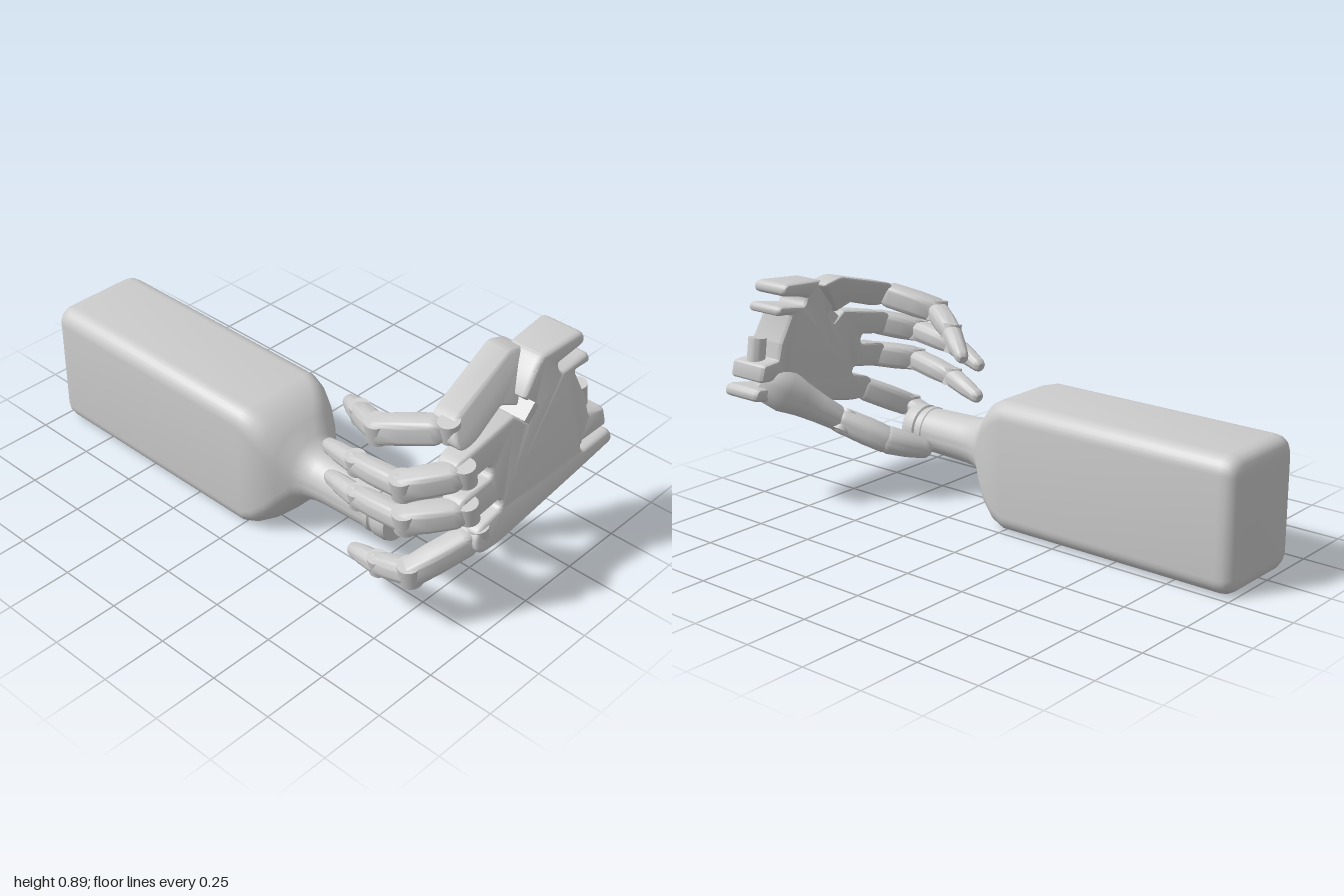
import * as THREE from 'three';
import { toCreasedNormals } from 'three/addons/utils/BufferGeometryUtils.js';

const material = new THREE.MeshStandardMaterial({ color: 0xcccccc });
const V = (p) => new THREE.Vector3(...p);

function part(geometry, name, crease = 0.6) {
  const mesh = new THREE.Mesh(toCreasedNormals(geometry, crease), material);
  mesh.name = name;
  return mesh;
}

// Skin along +z through rounded-rectangle rings [z, halfWidth, halfHeight, cornerRadius]
function loft(rings, perCorner = 6) {
  const pos = [], index = [], n = perCorner * 4;
  const addRing = ([z, w, h, r]) => {
    r = Math.min(r, w, h);
    for (let c = 0; c < 4; c++) {
      const cx = (c === 0 || c === 3 ? 1 : -1) * (w - r), cy = (c < 2 ? 1 : -1) * (h - r);
      for (let k = 0; k < perCorner; k++) {
        const a = (c + k / (perCorner - 1)) * Math.PI / 2;
        // circles spread their points evenly, so no two coincide
        const b = (c * perCorner + k + 0.5) / n * Math.PI * 2;
        const t = Math.min(w, h) - r < 1e-6 ? b : a;
        pos.push(cx + r * Math.cos(t), cy + r * Math.sin(t), z);
      }
    }
  };
  rings.forEach(addRing);
  for (let i = 0; i < rings.length - 1; i++) {
    for (let j = 0; j < n; j++) {
      const a = i * n + j, b = i * n + (j + 1) % n;
      index.push(a, b, b + n, a, b + n, a + n);
    }
  }
  // end caps
  const last = (rings.length - 1) * n;
  for (let j = 1; j < n - 1; j++) {
    index.push(0, j + 1, j, last, last + j, last + j + 1);
  }
  const g = new THREE.BufferGeometry();
  g.setAttribute('position', new THREE.Float32BufferAttribute(pos, 3));
  g.setIndex(index);
  return g;
}

// Point local +z from a to b, keeping local +y near world up
function aim(mesh, a, b) {
  const z = b.clone().sub(a).normalize();
  const x = new THREE.Vector3(0, 1, 0).cross(z).normalize();
  mesh.quaternion.setFromRotationMatrix(new THREE.Matrix4().makeBasis(x, z.clone().cross(x), z));
  mesh.position.copy(a);
  return mesh;
}

// One finger bone with rounded ends
function bone(name, p, q, ra, rb, corner) {
  const a = V(p), b = V(q), L = a.distanceTo(b);
  const ring = (z, r, s) => [z, r * s * 0.95, r * s, r * s * corner];
  return aim(part(loft([
    ring(-0.6 * ra, ra, 0.45), ring(-0.4 * ra, ra, 0.75), ring(0, ra, 0.94), ring(0.3 * ra, ra, 1),
    ring(L * 0.6, (ra + rb) / 2, 1.04), ring(L, rb, 0.98),
    ring(L + 0.5 * rb, rb, 0.82), ring(L + 0.8 * rb, rb, 0.5),
  ]), name, 0.7), a, b);
}

function hinge(name, at, r, length, tilt = 0.2) {
  const m = part(new THREE.CylinderGeometry(r, r, length, 20), name);
  m.position.set(...at);
  m.rotation.z = tilt;
  return m;
}

// Closed shape from corners [x, y, rounding]
function roundedShape(corners) {
  const s = new THREE.Shape(), n = corners.length;
  corners.forEach(([x, y, r], i) => {
    const p = new THREE.Vector2(x, y);
    const toward = (o) => {
      const d = new THREE.Vector2(o[0] - x, o[1] - y);
      return d.setLength(Math.min(r, d.length() * 0.49)).add(p);
    };
    const a = toward(corners[(i + n - 1) % n]), b = toward(corners[(i + 1) % n]);
    if (i) s.lineTo(a.x, a.y); else s.moveTo(a.x, a.y);
    s.quadraticCurveTo(x, y, b.x, b.y);
  });
  s.closePath();
  return s;
}

// Slab with softened rim; its front lies on front(x, y), its thickness is depth(x)
function slab(name, corners, front, depth) {
  const e = 0.012, t = 0.1;
  const g = new THREE.ExtrudeGeometry(roundedShape(corners), {
    depth: t - 2 * e, bevelThickness: e, bevelSize: e, bevelOffset: -e, bevelSegments: 3, curveSegments: 6,
  });
  const p = g.attributes.position;
  for (let i = 0; i < p.count; i++) {
    const x = p.getX(i), y = p.getY(i);
    p.setZ(i, front(x, y) + (p.getZ(i) + e - t) / t * depth(x));
  }
  return part(g, name);
}

function makeBottle() {
  const g = new THREE.Group();
  g.name = 'bottle';
  const body = part(loft([
    [-1, 0.145, 0.195, 0.03], [-0.996, 0.17, 0.22, 0.045], [-0.982, 0.187, 0.237, 0.055], [-0.965, 0.196, 0.246, 0.06],
    [-0.94, 0.2, 0.25, 0.065], [0, 0.2, 0.25, 0.065], [0.05, 0.195, 0.238, 0.08], [0.1, 0.178, 0.212, 0.1],
    [0.14, 0.155, 0.178, 0.115], [0.18, 0.122, 0.133, 0.115], [0.21, 0.104, 0.108, 0.102],
    [0.25, 0.096, 0.096, 0.096], [0.3, 0.091, 0.091, 0.091], [0.5, 0.086, 0.086, 0.086],
  ], 9), 'bottleBody');
  body.position.set(-0.2, 0.25, 0);
  // stepped mouth collar
  const profile = [[0, 0.46], [0.085, 0.46], [0.085, 0.49], [0.09, 0.495], [0.09, 0.515], [0.083, 0.52], [0.083, 0.53],
    [0.091, 0.535], [0.091, 0.575], [0.086, 0.59], [0, 0.59]].map((p) => new THREE.Vector2(...p));
  const collar = part(new THREE.LatheGeometry(profile, 36), 'bottleCollar');
  collar.rotation.x = Math.PI / 2;
  collar.position.set(-0.2, 0.25, 0);
  g.add(body, collar);
  return g;
}

function makePalm() {
  const g = new THREE.Group();
  g.name = 'palm';
  const front = (x, y) => 0.99 + 0.1 * (x - 0.4) - 0.21 * (y - 0.45);
  // main plate with finger forks on one side and wrist lugs on the other
  g.add(slab('palmPlate', [
    [0.15, 0.88, 0.02], [0.35, 0.897, 0.03], [0.355, 0.85, 0.03], [0.22, 0.825, 0.01], [0.23, 0.79, 0.01],
    [0.365, 0.815, 0.025], [0.37, 0.775, 0.02], [0.295, 0.77, 0.01], [0.335, 0.66, 0.005], [0.34, 0.595, 0.005],
    [0.415, 0.59, 0.015], [0.42, 0.52, 0.015], [0.29, 0.505, 0.01], [0.29, 0.475, 0.01], [0.435, 0.5, 0.025],
    [0.445, 0.45, 0.025], [0.28, 0.41, 0.02], [-0.13, 0.315, 0.03], [-0.235, 0.31, 0.055], [-0.23, 0.395, 0.05],
    [-0.1, 0.435, 0.02], [-0.1, 0.468, 0.02], [-0.285, 0.43, 0.055], [-0.29, 0.53, 0.055],
    [-0.125, 0.56, 0.02], [-0.125, 0.602, 0.02], [-0.285, 0.57, 0.055], [-0.29, 0.66, 0.055],
    [0, 0.727, 0.005], [0.05, 0.685, 0.005], [0.09, 0.73, 0.005], [0.05, 0.77, 0.005], [0.11, 0.84, 0.01],
  ], front, (x) => 0.085 + 0.09 * (x + 0.25) / 0.65));
  // folded upper metacarpal plate
  g.add(slab('upperMetacarpal', [
    [-0.245, 0.795, 0.05], [0.1, 0.89, 0.02], [0.18, 0.87, 0.02], [0.05, 0.73, 0.01],
    [-0.02, 0.758, 0.01], [-0.19, 0.705, 0.05], [-0.27, 0.71, 0.06],
  ], (x, y) => 0.875 - 0.55 * (y - 0.72), () => 0.1));
  const clip = part(new THREE.BoxGeometry(0.035, 0.07, 0.13), 'palmClip');
  clip.position.set(0.06, 0.72, 0.85);
  clip.rotation.z = -0.78;
  g.add(clip, hinge('wristRoller', [0.365, 0.63, 0.88], 0.035, 0.09, 0.15));
  return g;
}

// Joints: knuckle, middle joint, end joint, tip
const fingers = {
  topFinger: [[-0.23, 0.755, 0.81], [-0.325, 0.695, 0.59], [-0.245, 0.645, 0.44], [-0.165, 0.588, 0.32]],
  upperMiddleFinger: [[-0.24, 0.625, 0.89], [-0.38, 0.58, 0.75], [-0.37, 0.555, 0.54], [-0.32, 0.512, 0.37]],
  lowerMiddleFinger: [[-0.24, 0.485, 0.91], [-0.385, 0.455, 0.77], [-0.37, 0.42, 0.55], [-0.32, 0.383, 0.38]],
  bottomFinger: [[-0.18, 0.36, 0.915], [-0.385, 0.25, 0.8], [-0.385, 0.205, 0.66], [-0.36, 0.172, 0.53]],
};

function makeFinger(name, [k, m, e, t]) {
  const g = new THREE.Group();
  g.name = name;
  const start = V(k).lerp(V(m), 0.16).toArray();
  g.add(
    hinge('knuckle', k, 0.038, 0.075),
    bone('proximalBone', start, m, 0.046, 0.045, 0.5),
    hinge('middleJoint', m, 0.043, 0.08),
    bone('middleBone', m, e, 0.042, 0.038, 0.7),
    hinge('endJoint', e, 0.036, 0.068),
    bone('fingertip', e, t, 0.04, 0.028, 1),
  );
  return g;
}

function makeThumb() {
  const g = new THREE.Group();
  g.name = 'thumb';
  // broad base flowing out of the palm
  const root = part(loft([
    [-0.08, 0.07, 0.05, 0.05], [-0.04, 0.09, 0.075, 0.06], [0.03, 0.088, 0.08, 0.065], [0.1, 0.07, 0.066, 0.06],
    [0.18, 0.056, 0.055, 0.05], [0.25, 0.05, 0.05, 0.05], [0.29, 0.04, 0.04, 0.04],
  ]), 'thumbBase', 0.7);
  g.add(
    aim(root, V([0.29, 0.47, 0.85]), V([0.11, 0.325, 0.7])),
    hinge('thumbJoint', [0.1, 0.315, 0.69], 0.045, 0.085, 0.7),
    bone('thumbMiddle', [0.11, 0.325, 0.7], [0.01, 0.25, 0.56], 0.05, 0.052, 0.8),
    bone('thumbTip', [0.01, 0.25, 0.56], [-0.1, 0.205, 0.465], 0.054, 0.04, 0.9),
  );
  return g;
}

export function createModel() {
  const model = new THREE.Group();
  model.name = 'handHoldingBottle';
  const hand = new THREE.Group();
  hand.name = 'mechanicalHand';
  hand.add(makePalm(), makeThumb());
  for (const [name, joints] of Object.entries(fingers)) hand.add(makeFinger(name, joints));
  model.add(makeBottle(), hand);
  return model;
}
